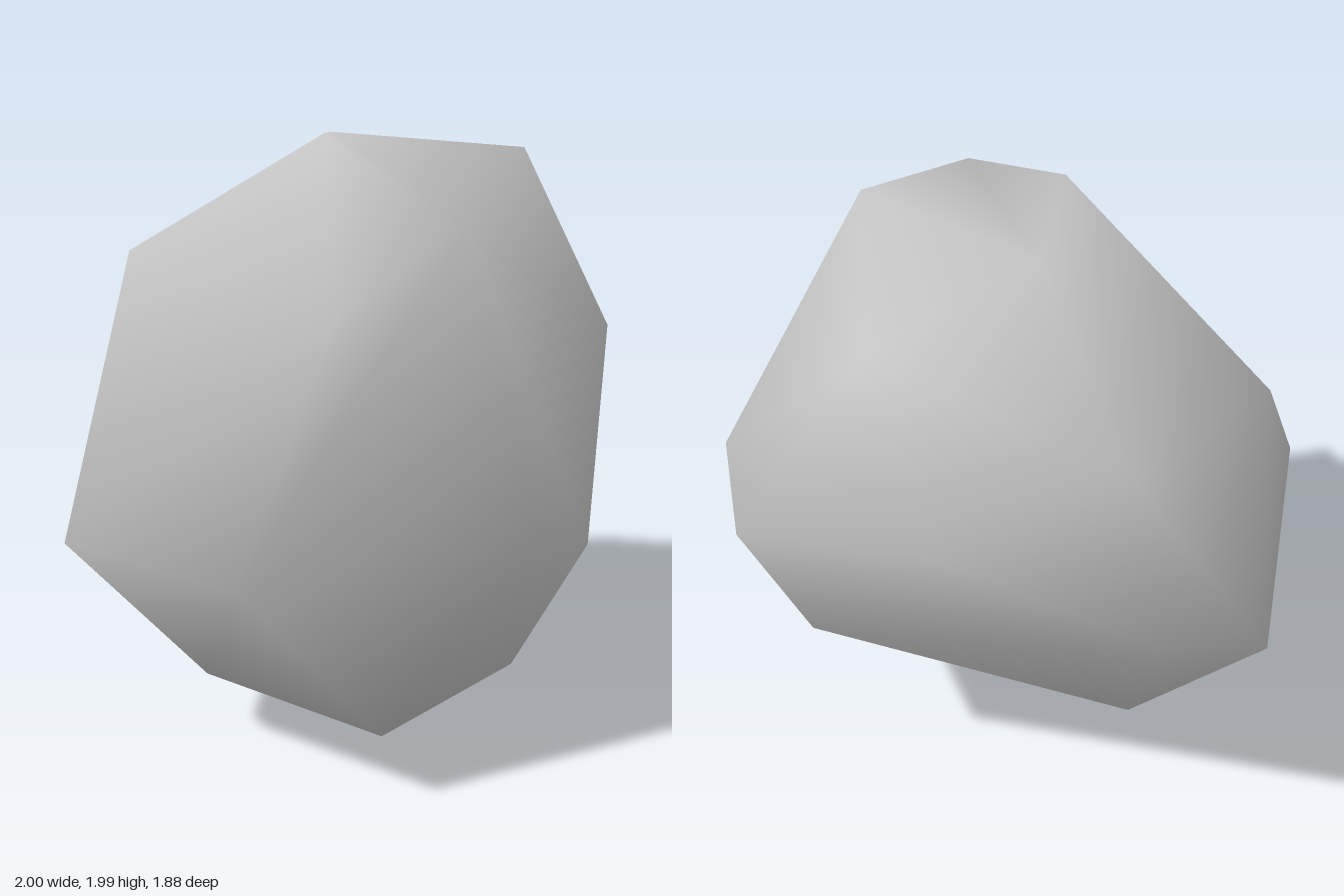
import * as THREE from 'three';
import { ConvexGeometry } from 'three/addons/geometries/ConvexGeometry.js';
import { mergeVertices } from 'three/addons/utils/BufferGeometryUtils.js';

// Corners of the boulder, from crown to base
const corners = [
  // crown
  [-0.12, 1.985, 0.16], [0.53, 1.93, 0.2], [-0.01, 1.94, -0.29], [0.18, 1.77, 0.74],
  // shoulder
  [0.51, 1.79, -0.56], [-0.25, 1.51, -0.82], [-0.71, 1.53, -0.41], [-0.23, 1.54, 0.85],
  // belly
  [0.33, 1.32, -0.9], [1, 1.23, -0.18], [0.95, 1.1, -0.49], [-0.35, 0.96, -0.94],
  [-0.7, 0.81, -0.79], [-0.54, 0.78, 0.94], [-1, 0.74, 0.34], [0.75, 0.66, -0.46],
  [0.73, 0.62, 0.41], [0.48, 0.72, 0.59],
  // base
  [-0.31, 0.28, -0.53], [-0.56, 0.24, 0.34], [0.52, 0.13, 0.27], [0.07, 0.005, -0.07], [0.01, 0, 0.45],
].map((p) => new THREE.Vector3(...p));

// Two crown corners are raised while wrapping, then dropped to leave a shallow valley
const lift = { 2: 0.12, 3: 0.14 };

// Smooth normals, each face weighted by its angle at the corner
function smoothNormals(geometry) {
  const { index, attributes: { position } } = geometry;
  const normals = Array.from({ length: position.count }, () => new THREE.Vector3());
  for (let f = 0; f < index.count; f += 3) {
    const ids = [0, 1, 2].map((k) => index.getX(f + k));
    const pts = ids.map((id) => new THREE.Vector3().fromBufferAttribute(position, id));
    const face = new THREE.Triangle(...pts).getNormal(new THREE.Vector3());
    ids.forEach((id, k) => {
      const a = pts[(k + 1) % 3].clone().sub(pts[k]);
      const b = pts[(k + 2) % 3].clone().sub(pts[k]);
      normals[id].addScaledVector(face, a.angleTo(b));
    });
  }
  const flat = normals.flatMap((n) => n.normalize().toArray());
  geometry.setAttribute('normal', new THREE.Float32BufferAttribute(flat, 3));
}

function boulderGeometry() {
  const raised = corners.map((p, i) => p.clone().setY(p.y + (lift[i] ?? 0)));
  const hull = new ConvexGeometry(raised);
  hull.deleteAttribute('normal');
  const geometry = mergeVertices(hull, 1e-4);
  const position = geometry.attributes.position;
  const v = new THREE.Vector3();
  for (let i = 0; i < position.count; i++) {
    v.fromBufferAttribute(position, i);
    const k = raised.findIndex((p) => p.distanceTo(v) < 1e-3);
    if (k >= 0) position.setXYZ(i, ...corners[k].toArray());
  }
  smoothNormals(geometry);
  return geometry;
}

export function createModel() {
  const stone = new THREE.MeshStandardMaterial({ color: 0xc6c6c6 });
  stone.name = 'stoneGrey';
  const boulder = new THREE.Mesh(boulderGeometry(), stone);
  boulder.name = 'boulder';
  const group = new THREE.Group();
  group.name = 'rock';
  group.add(boulder);
  return group;
}
